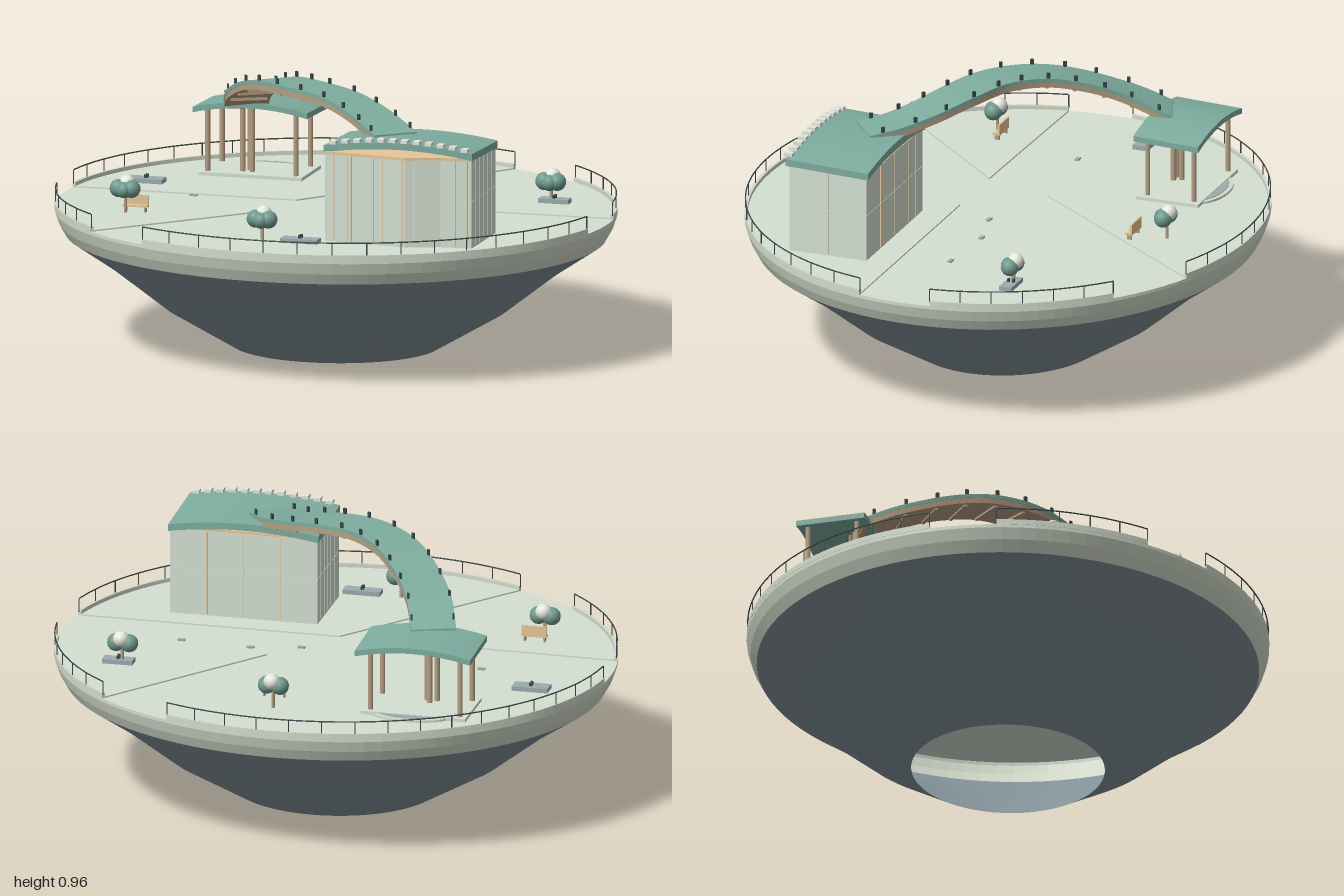
import * as THREE from 'three';

const mat = (name, color, extra = {}) => new THREE.MeshStandardMaterial({ name, color, ...extra });
const DEPTH = 0.918; // the platform is an ellipse, shallower in z
const rad = THREE.MathUtils.degToRad;

export function createModel() {
  const M = {
    deck: mat('pale sage', 0xd4dfd1, { side: THREE.DoubleSide }),
    rim: mat('light stone', 0xd2dbcb, { flatShading: true, side: THREE.DoubleSide }),
    bowl: mat('slate', 0x829097, { flatShading: true, side: THREE.DoubleSide }),
    roof: mat('verdigris', 0x7eac9f),
    wood: mat('brown timber', 0xb59e82),
    tan: mat('tan', 0xe6c798),
    dark: mat('dark metal', 0x3a4747),
    grey: mat('blue grey', 0x9babaf),
    leaf: mat('foliage', 0x6e988d),
    pale: mat('off white', 0xeef2e6),
  };
  const model = new THREE.Group();
  const group = (name, parent = model) => {
    const g = new THREE.Group();
    g.name = name;
    parent.add(g);
    return g;
  };
  const add = (parent, name, geo, m, x = 0, y = 0, z = 0) => {
    const mesh = new THREE.Mesh(geo, m);
    mesh.name = name;
    mesh.position.set(x, y, z);
    parent.add(mesh);
    return mesh;
  };
  const box = (p, name, m, w, h, d, x, y, z) => add(p, name, new THREE.BoxGeometry(w, h, d), m, x, y, z);
  const post = (p, name, m, r, y0, y1, x, z) =>
    add(p, name, new THREE.CylinderGeometry(r, r, y1 - y0, 10), m, x, (y0 + y1) / 2, z);

  // Flat plate from a plan outline of [x, z] points, its top at y
  const plate = (p, name, m, pts, top, thick) => {
    const shape = new THREE.Shape(pts.map(q => new THREE.Vector2(q[0], q[1])));
    const geo = new THREE.ExtrudeGeometry(shape, { depth: thick, bevelEnabled: false });
    return add(p, name, geo.rotateX(Math.PI / 2), m, 0, top, 0);
  };
  const arc = (a0, a1, r, n = 40) => Array.from({ length: n + 1 }, (_, i) => {
    const a = rad(a0 + (a1 - a0) * i / n);
    return [r * Math.cos(a), r * DEPTH * Math.sin(a)];
  });

  // Solid band through four-cornered sections: left top, right top, right bottom, left bottom
  const band = (p, name, m, rings) => {
    const pos = [];
    const quad = (a, b, c, d) => [a, b, c, a, c, d].forEach(v => pos.push(...v));
    for (let i = 0; i < rings.length - 1; i++)
      for (let j = 0; j < 4; j++) {
        const k = (j + 1) % 4;
        quad(rings[i][j], rings[i][k], rings[i + 1][k], rings[i + 1][j]);
      }
    quad(...rings[0].slice().reverse());
    quad(...rings[rings.length - 1]);
    const geo = new THREE.BufferGeometry();
    geo.setAttribute('position', new THREE.Float32BufferAttribute(pos, 3));
    geo.computeVertexNormals();
    return add(p, name, geo, m);
  };

  // Platform: open bowl, rim and floor
  const platform = group('platform');
  const lathe = (name, m, pts) => {
    const geo = new THREE.LatheGeometry(pts.map(q => new THREE.Vector2(q[0], q[1])), 96);
    add(platform, name, geo.scale(1, 1, DEPTH), m);
  };
  lathe('bowl', M.bowl, [[0.37, 0], [0.61, 0.14], [0.81, 0.295], [0.96, 0.395]]);
  lathe('rim', M.rim, [[0.96, 0.395], [0.983, 0.435], [0.997, 0.475], [0.997, 0.487]]);
  const floor = new THREE.CircleGeometry(0.997, 96).rotateX(-Math.PI / 2).scale(1, 1, DEPTH);
  add(platform, 'floor', floor, M.deck, 0, 0.487, 0);

  // Four raised sectors between the paths, each with a kerb and railing
  const sectors = [
    [-47, -6, [0.23, -0.08]], [11, 118, [0.03, 0.17]],
    [135, 170, [-0.25, 0.17]], [185, 294, [-0.17, -0.08]],
  ];
  for (const [a0, a1, tip] of sectors) {
    plate(platform, 'sectorPaving', M.deck, [tip, ...arc(a0, a1, 0.986)], 0.492, 0.005);
    plate(platform, 'kerb', M.rim, [...arc(a0, a1, 0.998), ...arc(a0, a1, 0.986).reverse()], 0.506, 0.019);
    const rail = group('railing', platform);
    const path = new THREE.CatmullRomCurve3(arc(a0, a1, 0.994, 24).map(q => new THREE.Vector3(q[0], 0.55, q[1])));
    add(rail, 'handrail', new THREE.TubeGeometry(path, 60, 0.0025, 5), M.dark);
    const n = Math.round((a1 - a0) / 7);
    for (const [x, z] of arc(a0, a1, 0.994, n)) post(rail, 'railPost', M.dark, 0.0019, 0.5, 0.55, x, z);
  }
  for (const [x, z] of [[-0.54, -0.05], [0.13, 0.02], [0.305, -0.022], [0.56, -0.005]])
    box(platform, 'floorLight', M.grey, 0.026, 0.006, 0.014, x, 0.492, z);

  // Arched roof, highest at mid width and tilted along z
  const archRoof = (p, x0, x1, z0, z1, yBack, yFront, rise, thick) => {
    const rings = [];
    for (let i = 0; i <= 20; i++) {
      const t = i / 20, x = x0 + (x1 - x0) * t, h = rise * (1 - (2 * t - 1) ** 2);
      rings.push([[x, yBack + h, z0], [x, yFront + h, z1], [x, yFront + h - thick, z1], [x, yBack + h - thick, z0]]);
    }
    band(p, 'archedRoof', M.roof, rings);
  };

  // Open pavilion at the back, with a half-round pool behind it
  const pavilion = group('pavilion');
  archRoof(pavilion, -0.645, -0.225, -0.63, -0.385, 0.727, 0.737, 0.026, 0.02);
  box(pavilion, 'plinth', M.deck, 0.38, 0.014, 0.235, -0.435, 0.497, -0.505);
  for (const x of [-0.6, -0.275])
    for (const z of [-0.42, -0.595]) post(pavilion, 'column', M.wood, 0.009, 0.5, 0.727, x, z);
  for (const [x, z] of [[-0.48, -0.45], [-0.445, -0.45], [-0.46, -0.475]])
    post(pavilion, 'innerColumn', M.wood, 0.01, 0.5, 0.74, x, z);
  const disc = (rx, h, rz) => new THREE.CylinderGeometry(1, 1, h, 40).scale(rx, 1, rz);
  add(pavilion, 'poolRim', disc(0.145, 0.01, 0.078), M.rim, -0.42, 0.495, -0.592);
  add(pavilion, 'poolWater', disc(0.125, 0.012, 0.062), M.grey, -0.42, 0.496, -0.592);

  // Closed hall at the front, with a bowed front wall
  const hall = group('hall');
  const front = [[0.135, 0.578], [0.24, 0.59], [0.34, 0.6], [0.44, 0.609], [0.51, 0.585], [0.56, 0.568], [0.67, 0.562]];
  plate(hall, 'walls', M.deck, [[0.135, 0.27], ...front, [0.67, 0.27]], 0.805, 0.315);
  plate(hall, 'cornice', M.tan, [[0.137, 0.272], ...front.map(q => [q[0], q[1] + 0.003]), [0.668, 0.272]], 0.814, 0.01);
  archRoof(hall, 0.13, 0.675, 0.262, 0.575, 0.822, 0.834, 0.024, 0.025);
  const frontZ = x => {
    const i = Math.max(0, front.findIndex(q => q[0] >= x) - 1);
    const [a, b] = [front[i], front[i + 1]];
    return a[1] + (b[1] - a[1]) * (x - a[0]) / (b[0] - a[0]);
  };
  const fin = (x, z) => box(hall, 'fin', M.tan, 0.004, 0.305, 0.004, x, 0.65, z);
  const joint = (x, z) => box(hall, 'panelJoint', M.deck, 0.003, 0.305, 0.003, x, 0.65, z);
  for (const x of [0.17, 0.222, 0.236, 0.355, 0.43, 0.515, 0.655]) fin(x, frontZ(x));
  for (const x of [0.2, 0.29, 0.32, 0.395, 0.47, 0.56, 0.61]) joint(x, frontZ(x));
  for (let i = 1; i < 8; i++) (i % 2 ? joint : fin)(0.135 + i * 0.067, 0.27);
  for (const x of [0.135, 0.67])
    for (let i = 1; i < 6; i++) joint(x, 0.27 + i * 0.048);
  box(hall, 'midJoint', M.deck, 0.538, 0.003, 0.292, 0.4025, 0.66, 0.4145);
  for (let i = 0; i < 12; i++) {
    const x = 0.165 + i * 0.044, t = (x - 0.4025) / 0.2725;
    box(hall, 'roofBlock', M.pale, 0.024, 0.012, 0.032, x, 0.841 + 0.024 * (1 - t * t), 0.571);
  }

  // Curved canopy bridge from the pavilion roof to the hall roof
  const bridge = group('canopyBridge');
  const path = new THREE.CatmullRomCurve3([
    [-0.465, 0.765, -0.44], [-0.41, 0.835, -0.295], [-0.325, 0.895, -0.16], [-0.225, 0.932, -0.035],
    [-0.09, 0.943, 0.08], [0.065, 0.93, 0.16], [0.185, 0.9, 0.24], [0.275, 0.872, 0.325], [0.345, 0.856, 0.41],
  ].map(q => new THREE.Vector3(...q)));
  const frame = t => {
    const p = path.getPointAt(t), d = path.getTangentAt(t).setY(0).normalize();
    return { p, side: new THREE.Vector3(-d.z, 0, d.x), turn: Math.atan2(-d.z, d.x) };
  };
  const strip = (name, m, half, top, bottom) => {
    const rings = [];
    for (let i = 0; i <= 48; i++) {
      const { p, side } = frame(i / 48);
      const at = (s, h) => [p.x + side.x * s, p.y + h, p.z + side.z * s];
      rings.push([at(-half, top), at(half, top), at(half, bottom), at(-half, bottom)]);
    }
    band(bridge, name, m, rings);
  };
  strip('canopyTop', M.roof, 0.08, 0, -0.014);
  strip('canopySoffit', M.wood, 0.078, -0.014, -0.034);
  for (let i = 0; i < 11; i++) {
    const { p, side, turn } = frame(0.04 + i * 0.092);
    for (const s of [-0.074, 0.074])
      box(bridge, 'edgeStud', M.dark, 0.012, 0.02, 0.007, p.x + side.x * s, p.y + 0.01, p.z + side.z * s).rotation.y = turn;
    if (i > 0 && i < 10)
      box(bridge, 'soffitRib', M.wood, 0.012, 0.012, 0.13, p.x, p.y - 0.036, p.z).rotation.y = turn;
  }

  // Trees
  for (const [x, z, lift] of [[-0.68, 0.31, 0.012], [-0.08, 0.625, 0], [0.07, -0.63, 0.006], [0.7, -0.3, 0]]) {
    const tree = group('tree');
    tree.position.set(x, lift, z);
    post(tree, 'trunk', M.wood, 0.006, 0.488 - lift, 0.56, 0, 0);
    const ball = (name, m, r, bx, by, bz) => add(tree, name, new THREE.SphereGeometry(r, 16, 12), m, bx, by, bz);
    ball('foliage', M.leaf, 0.032, -0.024, 0.567, 0.004);
    ball('foliage', M.leaf, 0.032, 0.024, 0.567, 0.006);
    ball('foliage', M.leaf, 0.029, 0, 0.564, 0.018);
    ball('crown', M.pale, 0.029, 0.003, 0.585, -0.008);
  }

  // Timber benches with a backrest
  for (const [x, z] of [[0.095, -0.512], [-0.65, 0.285]]) {
    const bench = group('bench');
    bench.position.set(x, 0.492, z);
    box(bench, 'seat', M.tan, 0.09, 0.007, 0.026, 0, 0.022, 0);
    box(bench, 'backrest', M.tan, 0.09, 0.034, 0.007, 0, 0.042, -0.0095);
    for (const s of [-0.036, 0.036]) box(bench, 'leg', M.wood, 0.006, 0.02, 0.018, s, 0.01, 0);
  }

  // Low stone slabs with small fittings
  for (const [x, z, w, d] of [[-0.765, -0.222, 0.13, 0.058], [0.062, 0.632, 0.135, 0.048], [0.715, -0.295, 0.11, 0.046]]) {
    const slab = group('stoneSlab');
    slab.position.set(x, 0.492, z);
    box(slab, 'slab', M.grey, w, 0.016, d, 0, 0.008, 0);
    for (const s of [-0.009, 0.009]) box(slab, 'fitting', M.dark, 0.01, 0.012, 0.007, 0, 0.022, s);
  }
  return model;
}
